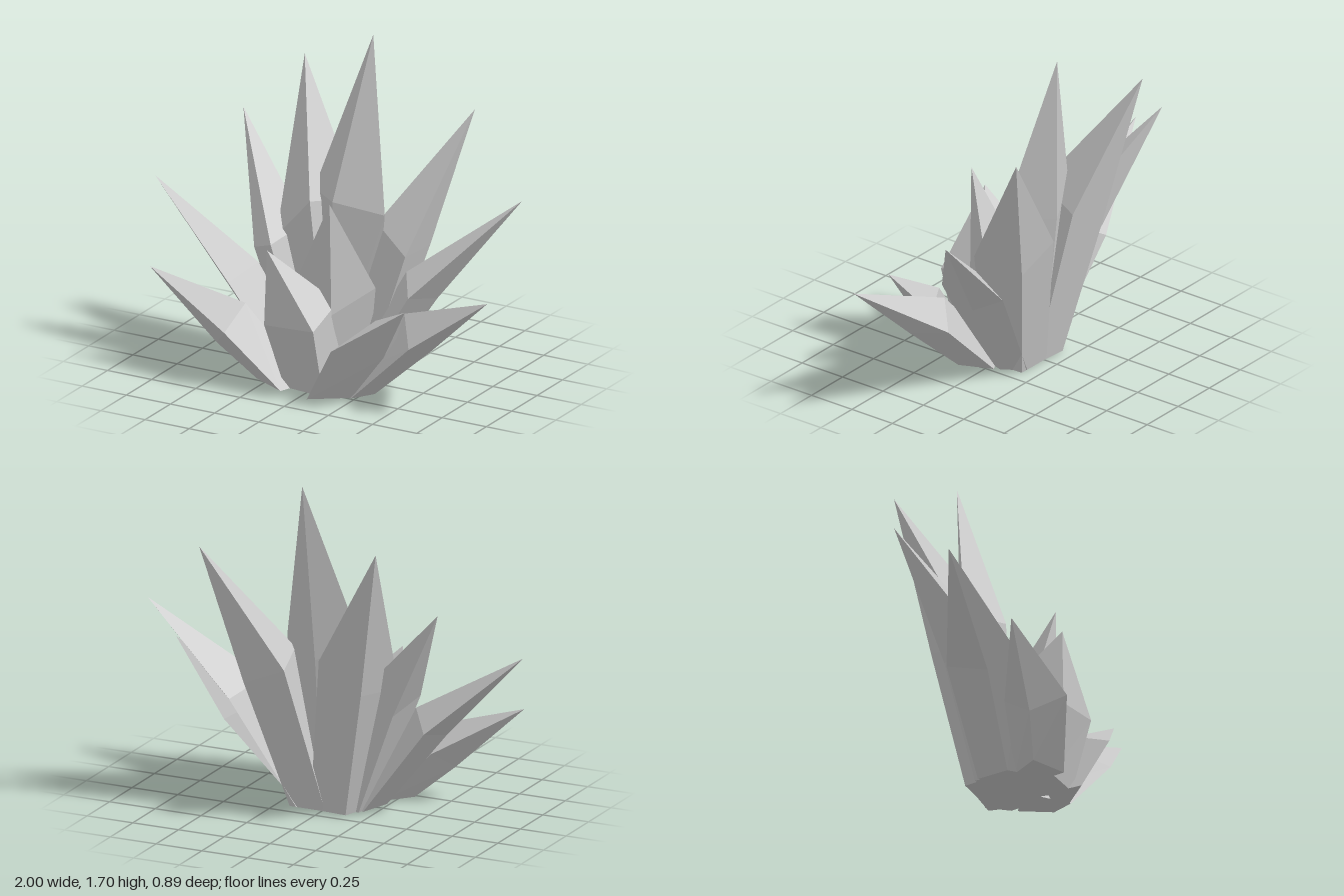
import * as THREE from 'three';

const FOOT_SCALE = 0.77; // width of the foot compared with the shoulder

// Pointed crystal: foot cut flat at y = 0, wider shoulder ring, sharp tip.
// Shoulder corners run counter-clockwise as seen from the tip.
function crystalGeometry(tipPos, footPos, shoulder) {
  const tip = new THREE.Vector3(...tipPos);
  const foot = new THREE.Vector3(...footPos);
  const upper = shoulder.map((p) => new THREE.Vector3(...p));
  const centre = new THREE.Vector3();
  upper.forEach((p) => centre.addScaledVector(p, 1 / upper.length));
  const axis = centre.clone().sub(foot);

  // shrink the shoulder round the foot, then slide each corner to the ground
  const lower = upper.map((p) => {
    const q = p.clone().sub(centre).multiplyScalar(FOOT_SCALE).add(foot);
    return q.addScaledVector(axis, -q.y / axis.y);
  });

  const points = [];
  upper.forEach((corner, i) => {
    const j = (i + 1) % upper.length;
    points.push(lower[i], lower[j], upper[j]); // shaft
    points.push(lower[i], upper[j], corner);
    points.push(corner, upper[j], tip);        // point
    points.push(foot, lower[j], lower[i]);     // underside
  });
  const geometry = new THREE.BufferGeometry().setFromPoints(points);
  geometry.computeVertexNormals();
  return geometry;
}

// tip, foot centre, shoulder corners
const CRYSTALS = {
  tallCentreCrystal: [[0.05, 1.70, -0.29], [0, 0, -0.07],
    [[0.23, 0.85, -0.09], [0, 0.80, -0.25], [-0.21, 0.89, -0.16], [-0.02, 0.90, -0.01]]],
  backRightCrystal: [[-0.43, 1.46, -0.45], [-0.07, 0, -0.07],
    [[-0.05, 0.82, -0.31], [-0.28, 0.67, -0.31], [-0.36, 0.65, -0.05], [-0.16, 0.87, -0.03]]],
  backLeftCrystal: [[0.55, 1.36, -0.42], [0.09, 0, -0.07],
    [[0.38, 0.68, -0.03], [0.36, 0.65, -0.31], [0.13, 0.75, -0.33], [0.18, 0.80, -0.10]]],
  upperRightCrystal: [[-0.72, 1.16, -0.35], [-0.12, 0, -0.01],
    [[-0.26, 0.70, -0.15], [-0.40, 0.55, -0.20], [-0.44, 0.60, 0.03], [-0.33, 0.64, 0.06]]],
  upperLeftCrystal: [[0.91, 1.00, -0.26], [0.14, 0, -0.03],
    [[0.46, 0.54, -0.27], [0.38, 0.60, -0.04], [0.47, 0.52, 0.10], [0.51, 0.46, -0.12]]],
  sideRightCrystal: [[-1.00, 0.87, 0.03], [-0.15, 0, 0.05],
    [[-0.47, 0.47, 0.23], [-0.41, 0.53, 0.04], [-0.54, 0.46, -0.14], [-0.56, 0.40, 0.08]]],
  sideLeftCrystal: [[1.00, 0.64, 0.24], [0.20, 0, 0.10],
    [[0.60, 0.35, -0.04], [0.45, 0.44, 0.10], [0.60, 0.35, 0.32], [0.64, 0.30, 0.17]]],
  middleCrystal: [[0.09, 0.98, 0.21], [0.02, 0, 0.03],
    [[0.23, 0.50, 0.00], [0, 0.50, -0.05], [-0.16, 0.45, 0.17], [0.10, 0.40, 0.21]]],
  frontCrystal: [[-0.19, 0.73, 0.34], [-0.03, 0, 0.17],
    [[0.10, 0.37, 0.39], [0.10, 0.45, 0.15], [-0.28, 0.41, 0.06], [-0.20, 0.34, 0.35]]],
  lowRightCrystal: [[-0.87, 0.51, 0.31], [-0.17, 0, 0.20],
    [[-0.38, 0.29, 0.43], [-0.38, 0.38, 0.22], [-0.45, 0.27, 0.13], [-0.51, 0.17, 0.28]]],
  lowLeftCrystal: [[0.59, 0.55, 0.34], [0.14, 0, 0.23],
    [[0.45, 0.33, 0.18], [0.35, 0.42, 0.21], [0.23, 0.31, 0.44], [0.43, 0.26, 0.27]]],
};

export function createModel() {
  const group = new THREE.Group();
  group.name = 'crystalCluster';
  const stone = new THREE.MeshStandardMaterial({ color: 0xc8c8c8 });
  stone.name = 'grey crystal';
  stone.flatShading = true;

  for (const [name, [tip, foot, shoulder]] of Object.entries(CRYSTALS)) {
    const mesh = new THREE.Mesh(crystalGeometry(tip, foot, shoulder), stone);
    mesh.name = name;
    group.add(mesh);
  }
  return group;
}
